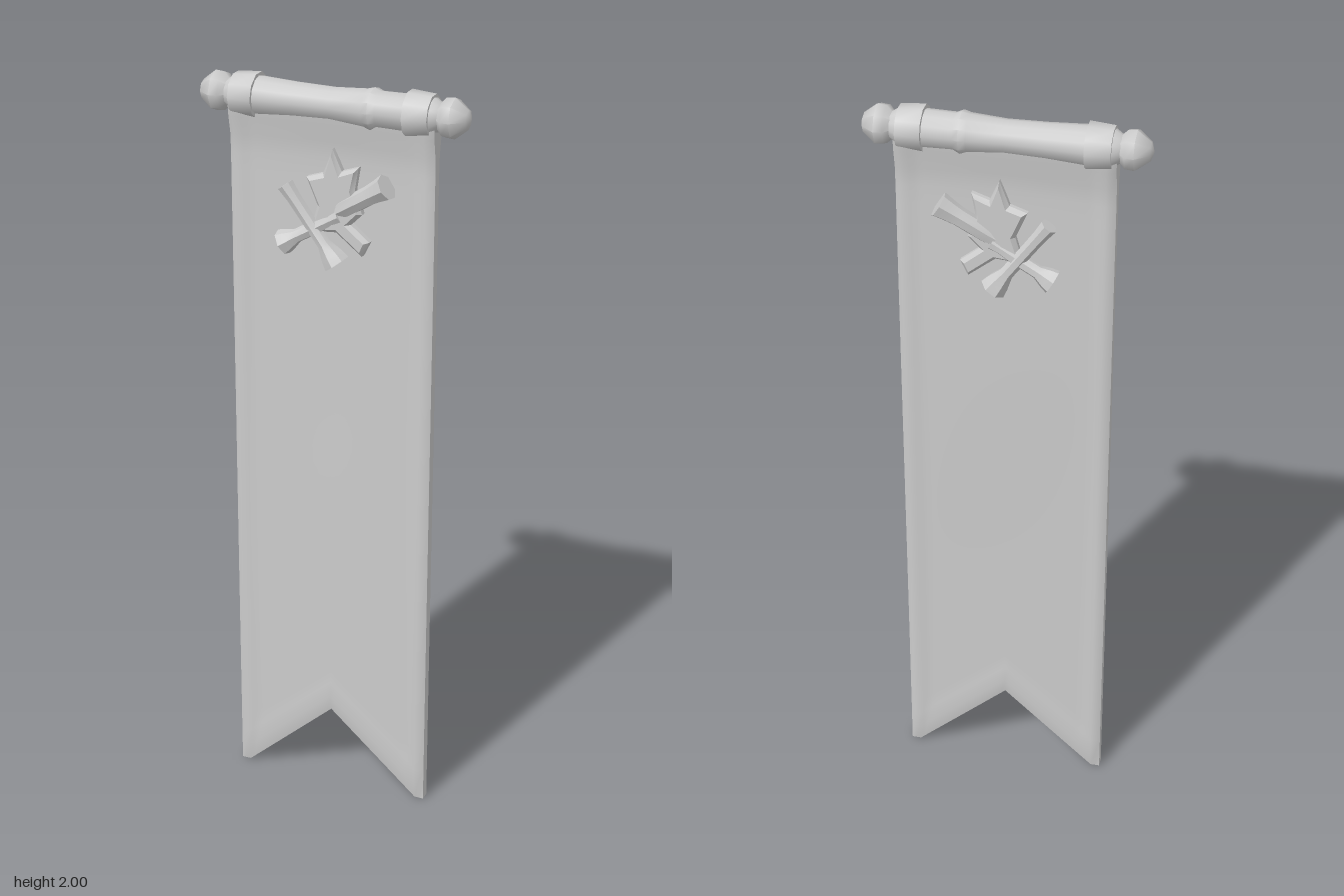
import * as THREE from 'three';
import { toCreasedNormals } from 'three/addons/utils/BufferGeometryUtils.js';

const material = new THREE.MeshStandardMaterial({ color: 0xcccccc, side: THREE.DoubleSide });

function addMesh(parent, name, geometry, crease = 0.8) {
  const mesh = new THREE.Mesh(toCreasedNormals(geometry, crease), material);
  mesh.name = name;
  parent.add(mesh);
  return mesh;
}

// Turned piece from [radius, height] pairs
function turned(profile, sides) {
  return new THREE.LatheGeometry(profile.map(([r, h]) => new THREE.Vector2(r, h)), sides);
}

// Swallow-tailed cloth: a box grid with a notched bottom and thicker hems
function clothGeometry() {
  const half = 0.275, top = 1.94, notch = 0.225;
  const geo = new THREE.BoxGeometry(2, 1, 2, 44, 40, 1);
  const p = geo.attributes.position;
  for (let i = 0; i < p.count; i++) {
    const x = p.getX(i) * half;
    const v = p.getY(i) + 0.5;
    const bottom = Math.max(0, notch * (1 - Math.abs(x) / 0.25));
    const y = bottom + (top - bottom) * v;
    const edge = Math.min(half - Math.abs(x), (y - bottom) * 0.75);
    // Rounded rim, raised hem, then a slightly thinner field
    const rim = 0.013 + 0.008 * THREE.MathUtils.smoothstep(edge, 0, 0.015);
    const field = 0.005 * THREE.MathUtils.smoothstep(edge, 0.025, 0.06);
    const flare = 0.016 * THREE.MathUtils.smoothstep(y, 1.82, 1.93);
    const wave = 0.003 * Math.sin(y * 3.1) * Math.cos(x * 5);
    p.setXYZ(i, x, y, Math.sign(p.getZ(i)) * (rim - field + flare) + wave);
  }
  geo.computeVertexNormals();
  return geo;
}

// Emblem bar between two points of the cloth plane, flared at its ends
function addBar(parent, name, [x1, y1], [x2, y2], z, tilt, r1, r2, r3) {
  const length = Math.hypot(x2 - x1, y2 - y1), h = length / 2;
  const geo = turned([[0, -h], [r1, -h], [r1 * 0.85, -h * 0.8], [r2, -h * 0.5],
    [r2, h * 0.35], [r3 * 0.85, h * 0.7], [r3, h], [0, h]], 7);
  const bar = addMesh(parent, name, geo);
  bar.position.set((x1 + x2) / 2, (y1 + y2) / 2, z);
  bar.quaternion.setFromUnitVectors(new THREE.Vector3(0, 1, 0),
    new THREE.Vector3(x2 - x1, y2 - y1, tilt).normalize());
}

export function createModel() {
  const model = new THREE.Group();
  model.name = 'hangingBanner';
  addMesh(model, 'cloth', clothGeometry(), 0.9);

  // Crossbar with its worn middle and a small ridge
  const crossbar = new THREE.Group();
  crossbar.name = 'crossbar';
  crossbar.position.y = 1.945;
  model.add(crossbar);
  const pole = turned([[0.03, -0.29], [0.049, -0.26], [0.05, -0.2], [0.045, -0.1], [0.043, 0],
    [0.049, 0.09], [0.054, 0.108], [0.047, 0.125], [0.049, 0.26], [0.03, 0.29]], 12);
  addMesh(crossbar, 'pole', pole).rotation.z = -Math.PI / 2;

  // Sleeves and finials at both ends
  for (const side of [-1, 1]) {
    const label = side > 0 ? 'left' : 'right';
    const sleeve = turned([[0.045, 0.2], [0.059, 0.2], [0.054, 0.264], [0.03, 0.264]], 10);
    addMesh(crossbar, label + 'Sleeve', sleeve).rotation.z = -side * Math.PI / 2;
    const finial = turned([[0.03, 0.26], [0.031, 0.278], [0.05, 0.295],
      [0.052, 0.318], [0.025, 0.352], [0, 0.36]], 8);
    addMesh(crossbar, label + 'Finial', finial, 1).rotation.z = -side * Math.PI / 2;
  }

  // Raised crossed emblem on both faces
  const emblem = new THREE.Group();
  emblem.name = 'emblem';
  model.add(emblem);
  for (const s of [1, -1]) {
    const face = s > 0 ? 'front' : 'back';
    addBar(emblem, face + 'ThickBar', [0, 1.665], [0.16, 1.765], s * 0.032, s * 0.02, 0.02, 0.025, 0.034);
    addBar(emblem, face + 'ShortBar', [-0.125, 1.58], [0.03, 1.67], s * 0.032, 0, 0.034, 0.018, 0.018);
    addBar(emblem, face + 'CrossBar', [0.025, 1.545], [-0.115, 1.735], s * 0.036, 0, 0.035, 0.018, 0.022);
  }

  // Jagged plate behind the bars, showing on both sides
  const outline = [[0.01, 1.84], [0.035, 1.785], [0.08, 1.8], [0.07, 1.74], [0.09, 1.68],
    [0.06, 1.65], [0.11, 1.61], [0.09, 1.57], [0.02, 1.625], [-0.05, 1.62],
    [-0.03, 1.69], [-0.06, 1.76], [-0.015, 1.775]];
  const plate = new THREE.ExtrudeGeometry(
    new THREE.Shape(outline.map(([x, y]) => new THREE.Vector2(x, y))),
    { depth: 0.06, bevelThickness: 0.012, bevelSize: 0.01, bevelOffset: -0.01, bevelSegments: 1 });
  plate.translate(0, 0, -0.03);
  addMesh(emblem, 'jaggedPlate', plate, 0.5);
  return model;
}
